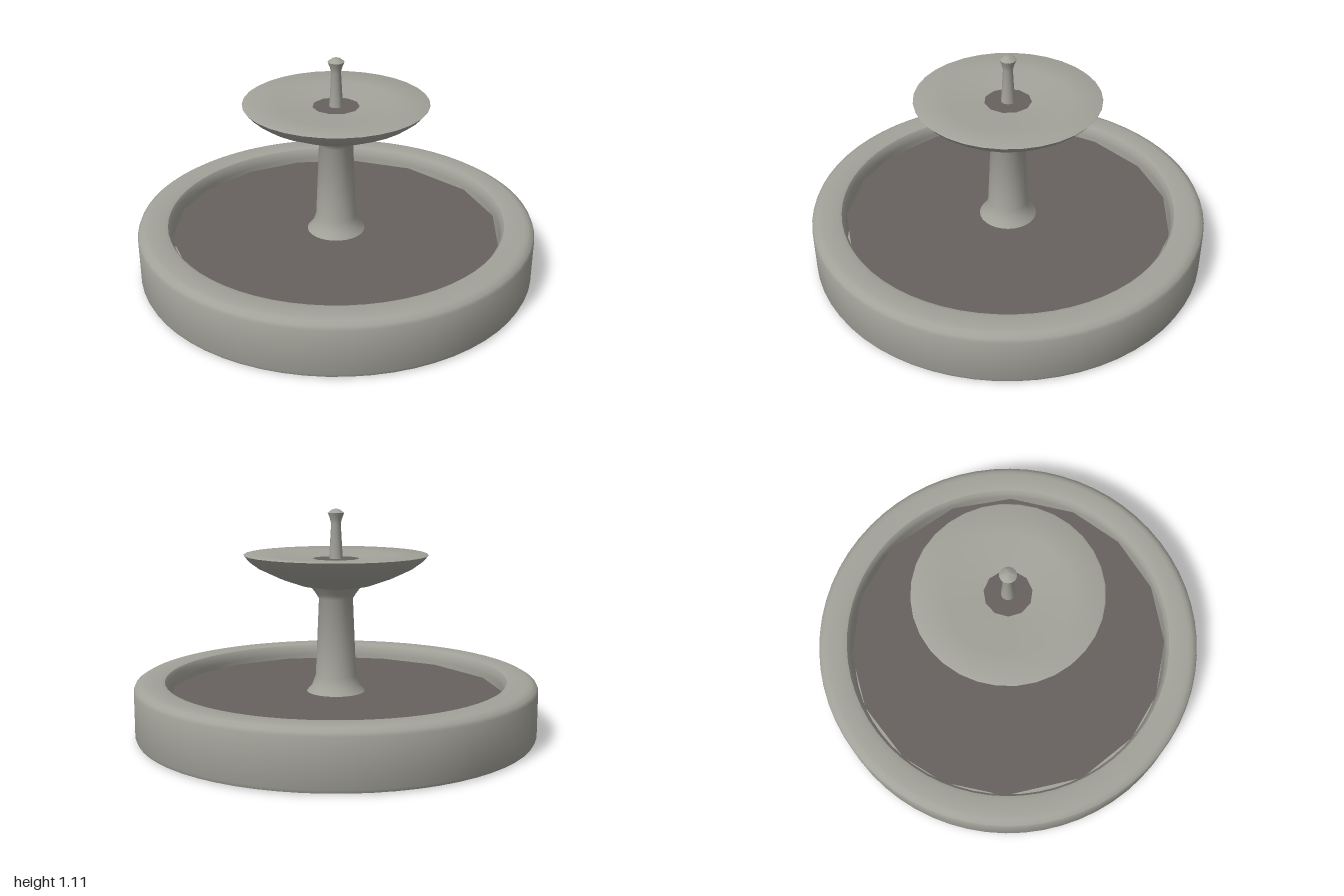
import * as THREE from 'three';
import { toCreasedNormals } from 'three/addons/utils/BufferGeometryUtils.js';

const stone = new THREE.MeshStandardMaterial({ color: 0xa3a29a });
stone.name = 'stone';
const water = new THREE.MeshStandardMaterial({ color: 0x67625e });
water.name = 'water';

// Revolve a [radius, height] profile, keeping only strong edges sharp
function turned(name, profile, segments, crease = 0.7) {
  const points = profile.map(([r, y]) => new THREE.Vector2(r, y));
  const geometry = toCreasedNormals(new THREE.LatheGeometry(points, segments), crease);
  const mesh = new THREE.Mesh(geometry, stone);
  mesh.name = name;
  return mesh;
}

// Flat water polygon whose corners lie on a circle, at bearings in degrees
function pool(name, radius, y, bearings) {
  const corners = bearings.map((deg) => {
    const a = THREE.MathUtils.degToRad(deg);
    return new THREE.Vector2(Math.cos(a) * radius, Math.sin(a) * radius);
  });
  const mesh = new THREE.Mesh(new THREE.ShapeGeometry(new THREE.Shape(corners)), water);
  mesh.rotation.x = -Math.PI / 2;
  mesh.position.y = y;
  mesh.name = name;
  return mesh;
}

export function createModel() {
  const fountain = new THREE.Group();
  fountain.name = 'fountain';

  // Basin: a ring wall with eased edges
  fountain.add(turned('basinWall', [
    [0.84, 0], [0.975, 0], [0.993, 0.006], [1, 0.022],
    [1, 0.245], [0.993, 0.262], [0.97, 0.276], [0.95, 0.28],
    [0.87, 0.28], [0.85, 0.274], [0.838, 0.255], [0.835, 0.22], [0.84, 0],
  ], 64));

  // Basin floor, raised slightly inside the ring
  const floor = new THREE.Mesh(new THREE.CylinderGeometry(0.838, 0.838, 0.03, 64), stone);
  floor.position.y = 0.065;
  floor.name = 'basinFloor';
  fountain.add(floor);

  // Basin water, coarsely faceted
  fountain.add(pool('basinWater', 0.835, 0.2, [
    -7, -29, -51, -72, -90, -113, -141, -163, -180,
    -203, -224, -247, -270, -298, -321, -346,
  ].reverse()));

  // Pedestal, flared at both ends
  fountain.add(turned('pedestal', [
    [0, 0.04], [0.2, 0.04], [0.2, 0.07], [0.185, 0.15], [0.146, 0.2],
    [0.12, 0.23], [0.102, 0.28], [0.085, 0.67], [0.1, 0.695], [0.13, 0.735], [0, 0.74],
  ], 28));

  // Upper bowl with a shallow dished top
  fountain.add(turned('bowl', [
    [0, 0.725], [0.12, 0.727], [0.18, 0.738], [0.28, 0.774], [0.385, 0.824],
    [0.43, 0.857], [0.457, 0.888], [0.45, 0.892],
    [0.3, 0.882], [0.115, 0.866], [0, 0.856],
  ], 32));

  // Small pool in the bowl
  fountain.add(pool('bowlWater', 0.116, 0.868,
    Array.from({ length: 11 }, (_, i) => 90 + (i * 360) / 11)));

  // Spout with a knob on top
  fountain.add(turned('spout', [
    [0.036, 0.85], [0.032, 0.9], [0.024, 1.04], [0.03, 1.065],
    [0.041, 1.092], [0.02, 1.108], [0, 1.114],
  ], 14));

  return fountain;
}
